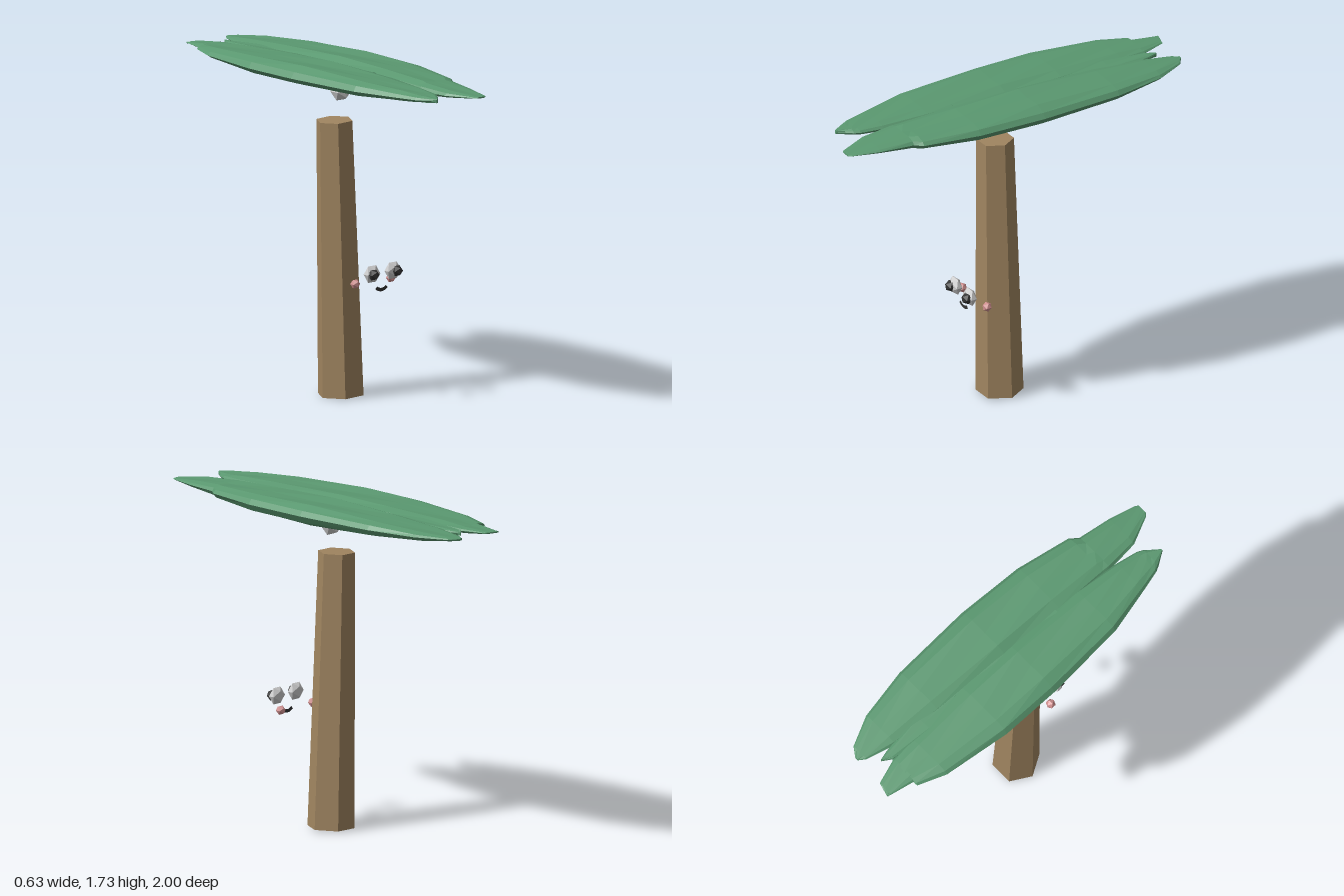
import * as THREE from 'three';

const mat = (color, extra = {}) =>
  new THREE.MeshStandardMaterial({ color, flatShading: true, ...extra });

function add(group, name, geometry, material, x = 0, y = 0, z = 0) {
  const mesh = new THREE.Mesh(geometry, material);
  mesh.name = name;
  mesh.position.set(x, y, z);
  group.add(mesh);
  return mesh;
}

// Flat leaf lofted along z; each section is [z, xMin, xMax]
const RIM = [[1, 0.1], [0.88, 0.6], [0.55, 0.95], [0, 0.9], [-0.55, 1], [-0.88, 0.55],
  [-1, -0.1], [-0.8, -0.7], [-0.4, -1], [0.1, -0.9], [0.5, -1], [0.85, -0.6]];

function leafGeometry(sections, thickness) {
  const n = RIM.length, pos = [], idx = [];
  sections.forEach(([z, a, b], i) => {
    const h = thickness * (1 - z * z) + 0.004;
    RIM.forEach(([u, v], k) => {
      const ripple = 1 - 0.08 * ((i + k) % 2);
      pos.push((a + b) / 2 + u * (b - a) / 2, v * h * ripple, z);
    });
  });
  for (let i = 0; i < sections.length - 1; i++)
    for (let k = 0; k < n; k++) {
      const a = i * n + k, b = i * n + (k + 1) % n;
      idx.push(a, b, a + n, b, b + n, a + n);
    }
  // End caps
  const last = (sections.length - 1) * n;
  for (let k = 1; k < n - 1; k++) {
    idx.push(0, k + 1, k);
    idx.push(last, last + k, last + k + 1);
  }
  const g = new THREE.BufferGeometry();
  g.setAttribute('position', new THREE.Float32BufferAttribute(pos, 3));
  g.setIndex(idx);
  g.computeVertexNormals();
  return g;
}

export function createModel() {
  const model = new THREE.Group();
  model.name = 'palmTree';
  const bark = mat(0xa08560), green = mat(0x5a9870), grey = mat(0xcccccc);
  const dark = mat(0x333333), pink = mat(0xd09090);

  // Leaning six-sided trunk
  const trunk = add(model, 'trunk',
    new THREE.CylinderGeometry(0.096, 0.122, 1.425, 6, 1, false, Math.PI / 6), bark, -0.028, 0.717, 0.027);
  trunk.rotation.z = 0.03;

  // Ball between trunk and canopy
  add(model, 'crownBall', new THREE.IcosahedronGeometry(0.054, 0), grey, -0.007, 1.573, 0.027);

  // Canopy of two long leaves and a short middle one
  const canopy = new THREE.Group();
  canopy.name = 'canopy';
  canopy.position.y = 1.68;
  model.add(canopy);
  add(canopy, 'rightLeaf', leafGeometry([
    [-1, -0.145, -0.135], [-0.98, -0.15, -0.065], [-0.84, -0.18, -0.02], [-0.85, -0.205, -0.02],
    [-0.7, -0.265, 0], [-0.33, -0.315, 0.03], [0, -0.318, 0.03], [0.45, -0.293, 0],
    [0.7, -0.235, -0.035], [0.82, -0.205, -0.06], [0.85, -0.19, -0.075], [0.92, -0.145, -0.135],
  ], 0.048), green);
  add(canopy, 'leftLeaf', leafGeometry([
    [-0.975, 0.1, 0.12], [-0.94, 0.075, 0.17], [-0.78, 0.03, 0.245], [-0.5, 0, 0.295],
    [-0.05, -0.03, 0.311], [0.32, -0.035, 0.29], [0.62, -0.035, 0.23], [0.66, -0.035, 0.195],
    [0.84, -0.02, 0.165], [0.985, 0.045, 0.125], [1, 0.06, 0.115],
  ], 0.052), green);
  add(canopy, 'middleLeaf', leafGeometry([
    [-0.89, 0.015, 0.022], [-0.84, -0.02, 0.035], [-0.6, -0.06, 0.08], [-0.1, -0.08, 0.09],
    [0.3, -0.05, 0.06],
  ], 0.032), green);

  // Face, mirrored about its own centre line
  const face = new THREE.Group();
  face.name = 'face';
  face.position.set(0.05, 0, 0);
  model.add(face);
  for (const [side, s] of [['left', 1], ['right', -1]]) {
    const eye = add(face, side + 'Eye', new THREE.IcosahedronGeometry(0.05, 0), grey, s * 0.07, 0.668, 0.282);
    eye.scale.z = 0.6;
    add(face, side + 'Pupil', new THREE.IcosahedronGeometry(0.031, 0), dark, s * 0.079, 0.668, 0.304);
    add(face, side + 'Cheek', new THREE.IcosahedronGeometry(0.026, 0), pink, s * 0.12, 0.612, 0.21);
  }
  // Flat smile
  add(face, 'mouth', new THREE.RingGeometry(0.042, 0.06, 8, 1, Math.PI * 1.26, Math.PI * 0.48),
    mat(0x333333, { side: THREE.DoubleSide }), 0, 0.628, 0.275);

  return model;
}
